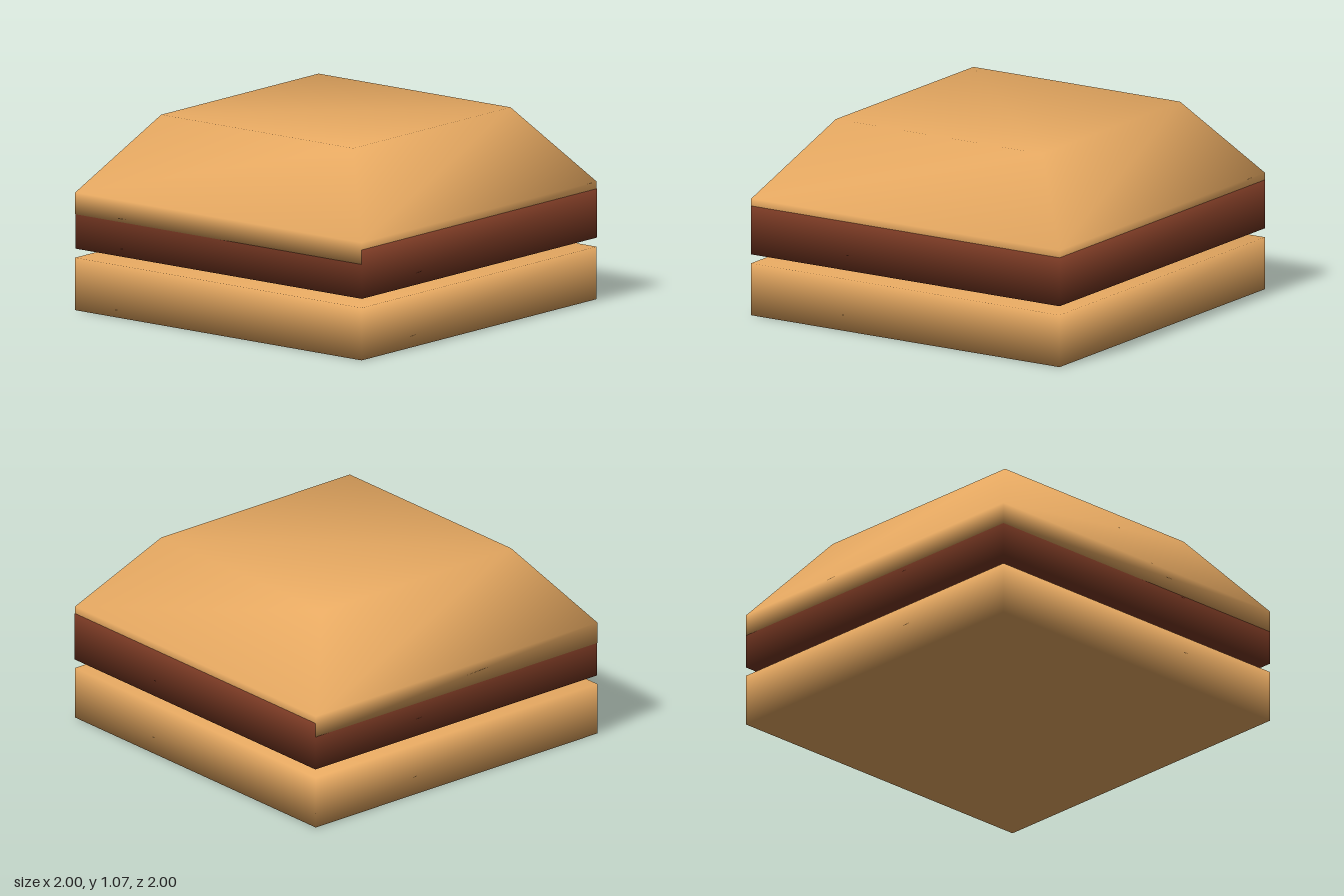
import * as THREE from 'three';
import { mergeVertices } from 'three/addons/utils/BufferGeometryUtils.js';

const bunMaterial = new THREE.MeshStandardMaterial({ color: 0xe8aa62 });
const pattyMaterial = new THREE.MeshStandardMaterial({ color: 0x7b3a24 });

// Square slab through levels of [y, half width], smooth-shaded across its shared corners
function slab(name, levels, material) {
  let geometry = new THREE.BoxGeometry(2, 1, 2, 1, levels.length - 1, 1);
  const p = geometry.attributes.position;
  for (let i = 0; i < p.count; i++) {
    const row = Math.round((p.getY(i) + 0.5) * (levels.length - 1));
    const [y, half] = levels[row];
    p.setXYZ(i, p.getX(i) * half, y, p.getZ(i) * half);
  }
  geometry.deleteAttribute('normal');
  geometry.deleteAttribute('uv');
  geometry = mergeVertices(geometry);
  geometry.computeVertexNormals();
  const mesh = new THREE.Mesh(geometry, material);
  mesh.name = name;
  return mesh;
}

export function createModel() {
  const group = new THREE.Group();
  group.name = 'burger';

  const bottomBun = slab('bottomBun', [[0, 1], [0.29, 1]], bunMaterial);

  // The patty overlaps the top bun; a hair's shift keeps their sides from flickering
  const patty = slab('patty', [[0.34, 1], [0.61, 1]], pattyMaterial);
  patty.position.set(0.001, 0, -0.001);

  // Short upright rim, then tapering to a flat top
  const topBun = slab('topBun', [[0.53, 1], [0.65, 1], [1.07, 0.67]], bunMaterial);

  group.add(bottomBun, patty, topBun);
  return group;
}
